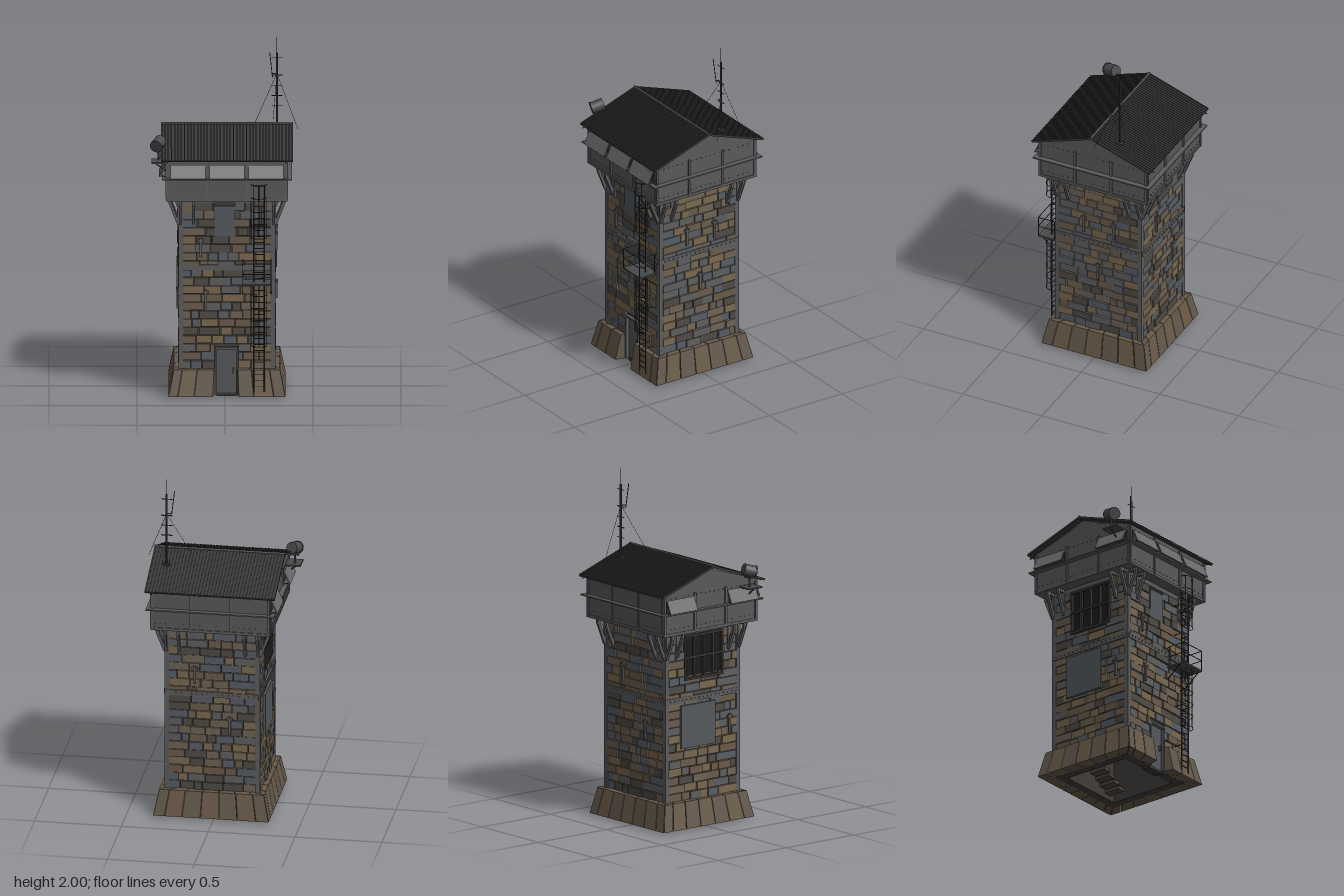
import * as THREE from 'three';
import { mergeGeometries } from 'three/addons/utils/BufferGeometryUtils.js';

const STEEL = 0x5c5c5c, DARK = 0x343434, ROOF = 0x383838, IRON = 0x484a4c, WALL = 0x3f3c38;
const STONES = [0x6e6254, 0x5f5f5f, 0x7a6850, 0x585e66, 0x4f4a44, 0x6a5b4a];
const V = (x, y, z) => new THREE.Vector3(x, y, z);

let seed = 7;
const rnd = () => (seed = (seed * 16807) % 2147483647) / 2147483647;

// Box given by its centre
const box = (w, h, d, x, y, z) => new THREE.BoxGeometry(w, h, d).translate(x, y, z).toNonIndexed();

// Round bar between two points
function rod(a, b, r, sides = 6) {
  const d = b.clone().sub(a);
  const g = new THREE.CylinderGeometry(r, r, d.length(), sides);
  g.applyQuaternion(new THREE.Quaternion().setFromUnitVectors(V(0, 1, 0), d.normalize()));
  const m = a.clone().add(b).multiplyScalar(0.5);
  return g.translate(m.x, m.y, m.z).toNonIndexed();
}

function add(parent, name, geoms, color, double = false) {
  const mat = new THREE.MeshStandardMaterial({ color });
  if (double) mat.side = THREE.DoubleSide;
  const m = new THREE.Mesh(mergeGeometries(geoms), mat);
  m.name = name;
  parent.add(m);
  return m;
}

// One slanted plinth stone, f0..f1 being fractions of the side
function plinthStone(f0, f1) {
  const g = new THREE.BoxGeometry(1, 1, 1).toNonIndexed(), p = g.attributes.position;
  for (let i = 0; i < p.count; i++) {
    const top = p.getY(i) > 0;
    const half = p.getZ(i) > 0 ? (top ? 0.302 : 0.333) : 0.225;
    p.setXYZ(i, (p.getX(i) > 0 ? f1 : f0) * half, top ? 0.163 : 0.012, half);
  }
  g.computeVertexNormals();
  return g;
}

// Irregular coursed stonework on one side, leaving gaps for openings
function stonework(parent, openings) {
  const sets = STONES.map(() => []);
  const rows = 20, y0 = 0.163, h = (1.13 - y0) / rows;
  for (let r = 0; r < rows; r++) {
    const y = y0 + (r + 0.5) * h;
    const gaps = openings.filter(o => y > o.y0 && y < o.y1);
    let x = -0.25;
    while (x < 0.249) {
      let end = x + 0.045 + rnd() * 0.085;
      if (end > 0.215) end = 0.25;
      let spans = [[x, end]];
      for (const o of gaps) spans = spans.flatMap(([a, b]) =>
        [[a, Math.min(b, o.x0)], [Math.max(a, o.x1), b]]);
      const d = 0.008 + rnd() * 0.012, c = Math.floor(rnd() * STONES.length);
      for (const [a, b] of spans) if (b - a > 0.006)
        sets[c].push(box(b - a - 0.004, h - 0.004, d, (a + b) / 2, y, 0.259 + d / 2));
      x = end;
    }
  }
  sets.forEach((s, i) => s.length && add(parent, 'stones' + (i + 1), s, STONES[i]));
}

// Triangular bracket below the cabin
function bracket(x) {
  const s = new THREE.Shape([[0.27, 1.0], [0.282, 1.0], [0.333, 1.13], [0.333, 1.155], [0.27, 1.155]]
    .map(p => new THREE.Vector2(...p)));
  s.holes.push(new THREE.Path([[0.28, 1.04], [0.28, 1.14], [0.318, 1.14]].map(p => new THREE.Vector2(...p))));
  const g = new THREE.ExtrudeGeometry(s, { depth: 0.016, bevelEnabled: false });
  return g.rotateY(-Math.PI / 2).translate(x + 0.008, 0, 0);
}

function flap(x, w) {
  return box(w, 0.083, 0.007, 0, -0.041, 0).rotateX(-0.42).translate(x, 1.367, 0.348);
}

export function createModel() {
  const model = new THREE.Group();
  const body = new THREE.Group();
  body.name = 'tower';
  body.position.set(0.012, 0, -0.004);
  model.add(body);

  // Openings and anchors per side: front, +x, back, -x
  const door = { x0: -0.068, x1: 0.064, y0: 0, y1: 0.29 };
  const hatch = { x0: -0.07, x1: 0.045, y0: 0.935, y1: 1.11 };
  const bigWindow = { x0: -0.13, x1: 0.14, y0: 0.87, y1: 1.12 };
  const openings = [[door, hatch], [], [], [bigWindow]];
  const anchors = [[[-0.15, 0.87], [-0.12, 0.57]], [[-0.09, 0.87], [0.1, 0.87], [0, 0.57]],
    [[-0.1, 0.87], [0.1, 0.57]], [[0.19, 0.57]]];
  const sideNames = ['frontSide', 'rightSide', 'backSide', 'leftSide'];

  sideNames.forEach((name, k) => {
    const side = new THREE.Group();
    side.name = name;
    side.rotation.y = k * Math.PI / 2;
    body.add(side);

    // Wall and stones
    const wall = k === 0
      ? [box(0.197, 1.143, 0.05, -0.1635, 0.583, 0.235), box(0.198, 1.143, 0.05, 0.163, 0.583, 0.235),
        box(0.132, 0.865, 0.05, -0.002, 0.7225, 0.235)]
      : [box(0.524, 1.143, 0.05, 0, 0.583, 0.235)];
    add(side, 'wall', wall, WALL);
    stonework(side, openings[k]);

    // Plinth
    const cuts = k === 0 ? [-1, -0.84, -0.56, -0.24, 0.2, 0.46, 0.8, 1] : [-1, -0.8, -0.5, -0.18, 0.14, 0.46, 0.78, 1];
    [0, 1].forEach(odd => {
      const set = [];
      for (let i = odd; i < cuts.length - 1; i += 2)
        if (k || i !== 3) set.push(plinthStone(cuts[i] + 0.006, cuts[i + 1] - 0.006));
      add(side, 'plinth' + odd, set, odd ? 0x6a5a48 : 0x62574b);
    });

    // Steel corner angles, bands and anchors with rivets
    const steel = [box(0.028, 0.99, 0.028, 0.261, 0.655, 0.261), box(0.53, 0.032, 0.014, 0, 0.752, 0.272),
      box(0.55, 0.026, 0.02, 0, 1.142, 0.266)];
    for (let i = -8; i <= 8; i++) steel.push(box(0.006, 0.006, 0.006, i * 0.03, 0.752, 0.281));
    for (const [x, y] of anchors[k])
      steel.push(box(0.014, 0.11, 0.01, x, y, 0.282), box(0.034, 0.012, 0.012, x, y + 0.04, 0.283));
    add(side, 'steelwork', steel, STEEL);
    add(side, 'brackets', [-0.265, -0.19, 0.19, 0.265].map(bracket), STEEL);

    // Cabin ledge, trims, battens and rivets
    const trim = [box(0.74, 0.008, 0.04, 0, 1.285, 0.35), box(0.69, 0.016, 0.01, 0, 1.163, 0.34)];
    for (const x of [-0.335, -0.115, 0.115, 0.335])
      trim.push(box(0.014, k % 2 ? 0.22 : 0.235, 0.01, x, 1.277, 0.343));
    for (let i = -10; i <= 10; i++) for (const y of [1.195, 1.375])
      trim.push(box(0.005, 0.005, 0.005, i * 0.032, y, 0.341));
    add(side, 'cabinTrim', trim, STEEL);

    // Window strips under propped flaps, front and searchlight side
    const flaps = k === 0 ? [-0.222, 0, 0.222] : k === 3 ? [-0.225, 0.222] : [];
    if (flaps.length) {
      add(side, 'cabinWindows', flaps.map(x => box(0.19, 0.07, 0.004, x, 1.328, 0.342)), DARK);
      add(side, 'windowFlaps', flaps.map(x => flap(x, 0.2)), 0x6a6a6a);
      add(side, 'flapProps', flaps.flatMap(x => [-0.09, 0.09].map(o =>
        rod(V(x + o, 1.29, 0.342), V(x + o, 1.297, 0.376), 0.003))), IRON);
    }

    if (k === 0) {
      // Door with frame and step, shuttered hatch above
      add(side, 'door', [box(0.12, 0.27, 0.012, -0.002, 0.148, 0.25),
        box(0.012, 0.27, 0.03, -0.062, 0.148, 0.262), box(0.012, 0.27, 0.03, 0.058, 0.148, 0.262),
        box(0.132, 0.012, 0.03, -0.002, 0.282, 0.262), box(0.008, 0.03, 0.014, 0.035, 0.15, 0.262)], 0x55585c);
      add(side, 'doorStep', [box(0.115, 0.02, 0.05, -0.002, 0.01, 0.235)], DARK);
      add(side, 'hatch', [box(0.115, 0.175, 0.016, -0.013, 1.022, 0.27)], 0x55595e);
    }
    if (k === 3) {
      // Large barred window with canopy, patched plate below
      add(side, 'windowGlass', [box(0.27, 0.25, 0.006, 0.005, 0.995, 0.263)], 0x1c1c1c);
      const bars = [-0.13, -0.063, 0.005, 0.073, 0.14].map(x => box(0.012, 0.25, 0.02, x, 0.995, 0.272));
      for (const y of [0.87, 0.995, 1.12]) bars.push(box(0.282, 0.014, 0.022, 0.005, y, 0.273));
      add(side, 'windowFrame', bars, DARK);
      add(side, 'plate', [box(0.25, 0.25, 0.014, -0.04, 0.595, 0.28)], 0x55595c);
    }
  });

  // Stair inside the hollow shaft, winding along the walls
  const steps = [], run = 7;
  for (let i = 0; i < 42; i++) {
    const s = box(0.05, 0.02, 0.1, -0.15 + (i % run) * 0.043, 0.05 + i * 0.025, 0.16);
    steps.push(s.rotateY((Math.floor(i / run) + 2) * Math.PI / 2));
  }
  add(body, 'innerStair', steps, 0x4a4642);

  // Cabin with gables
  const gable = new THREE.Shape([[-0.34, 1.155], [0.34, 1.155], [0.34, 1.4], [0, 1.518], [-0.34, 1.4]]
    .map(p => new THREE.Vector2(...p)));
  const cabin = new THREE.ExtrudeGeometry(gable, { depth: 0.68, bevelEnabled: false })
    .rotateY(-Math.PI / 2).translate(0.34, 0, 0);
  add(body, 'cabin', [cabin], 0x595959);

  // Corrugated roof slopes
  const tilt = Math.atan2(0.13, 0.375), len = Math.hypot(0.13, 0.375);
  for (const s of [1, -1]) {
    const parts = [box(0.75, 0.008, len, 0, -0.004, len / 2)];
    for (let i = 0; i <= 40; i++) parts.push(box(0.008, 0.005, len, -0.371 + i * 0.01855, 0.0025, len / 2));
    const slope = add(body, s > 0 ? 'roofFront' : 'roofBack', parts.map(g => g.rotateX(tilt).translate(0, 1.528, 0)), ROOF);
    if (s < 0) slope.rotation.y = Math.PI;
    add(body, 'rafters', [-0.337, 0.334].map(x => rod(V(x, 1.50, s * 0.02), V(x, 1.388, s * 0.385), 0.004)), IRON);
  }
  add(body, 'ridgeCap', [rod(V(-0.376, 1.529, 0), V(0.376, 1.529, 0), 0.008, 8)], IRON);

  // Ladder with two cages
  const lx = 0.182, lz = 0.327, ladder = [], cage = [];
  for (const s of [-1, 1]) ladder.push(rod(V(lx + s * 0.03, 0.04, lz), V(lx + s * 0.03, 1.16, lz), 0.004));
  for (let i = 0; i < 31; i++) ladder.push(rod(V(lx - 0.03, 0.07 + i * 0.035, lz), V(lx + 0.03, 0.07 + i * 0.035, lz), 0.0025));
  for (const y of [0.2, 0.45, 0.9, 1.08]) for (const s of [-1, 1])
    ladder.push(rod(V(lx + s * 0.03, y, 0.27), V(lx + s * 0.03, y, lz), 0.003));
  add(body, 'ladder', ladder, DARK);
  for (const [a, b] of [[0.31, 0.68], [0.94, 1.25]]) {
    const n = Math.round((b - a) / 0.075);
    for (let i = 0; i <= n; i++)
      cage.push(new THREE.TorusGeometry(0.045, 0.0025, 4, 12, Math.PI).rotateX(Math.PI / 2)
        .translate(lx, a + (b - a) * i / n, lz).toNonIndexed());
    for (let i = 0; i < 5; i++) {
      const t = i * Math.PI / 4, x = lx + 0.045 * Math.cos(t), z = lz + 0.045 * Math.sin(t);
      cage.push(rod(V(x, a, z), V(x, b, z), 0.002, 4));
    }
  }
  add(body, 'ladderCage', cage, DARK);

  // Landing with railing
  add(body, 'landing', [box(0.165, 0.01, 0.12, 0.17, 0.677, 0.335)], IRON);
  const rail = [];
  for (const x of [0.09, 0.25]) {
    for (const z of [0.29, 0.394]) rail.push(rod(V(x, 0.677, z), V(x, 0.8, z), 0.003));
    for (const y of [0.74, 0.8]) rail.push(rod(V(x, y, 0.28), V(x, y, 0.394), 0.0025));
    rail.push(rod(V(x, 0.6, 0.275), V(x, 0.675, 0.37), 0.003));
  }
  for (const y of [0.74, 0.8]) rail.push(rod(V(0.09, y, 0.394), V(0.25, y, 0.394), 0.0025));
  add(body, 'landingRail', rail, DARK);

  // Searchlight on its corner shelf
  const light = new THREE.Group();
  light.name = 'searchlight';
  model.add(light);
  add(light, 'shelf', [box(0.09, 0.008, 0.1, -0.372, 1.37, 0.26), rod(V(-0.41, 1.37, 0.26), V(-0.33, 1.31, 0.26), 0.004),
    rod(V(-0.378, 1.37, 0.245), V(-0.378, 1.44, 0.245), 0.006), box(0.05, 0.008, 0.03, -0.378, 1.43, 0.245)], IRON);
  const dir = V(-0.35, -0.3, 0.94).normalize().multiplyScalar(0.036), c = V(-0.378, 1.47, 0.243);
  add(light, 'lampHousing', [rod(c.clone().sub(dir), c.clone().add(dir), 0.034, 20),
    rod(c.clone().addScaledVector(dir, 0.85), c.clone().addScaledVector(dir, 1.08), 0.037, 20)], IRON);

  // Radio mast with cross arms, whip and guy wires
  const mast = new THREE.Group();
  mast.name = 'radioMast';
  mast.position.set(0.296, 0, -0.147);
  model.add(mast);
  const pole = [rod(V(0, 1.46, 0), V(0, 1.91, 0), 0.006, 8), rod(V(0, 1.9, 0), V(0, 2, 0), 0.0018),
    box(0.035, 0.012, 0.035, 0, 1.485, 0), rod(V(-0.025, 1.77, 0.015), V(-0.041, 1.92, 0.025), 0.0025),
    rod(V(0, 1.79, 0), V(-0.027, 1.79, 0.015), 0.003)];
  [1.6, 1.66, 1.72, 1.78, 1.88].forEach((y, i) => pole.push(rod(V(-0.032, y, 0), V(0.032, y, 0), i % 2 ? 0.003 : 0.002)));
  add(mast, 'pole', pole, DARK);
  const ends = [[-0.126, 1.52, 0.097], [0.119, 1.49, 0.107], [-0.021, 1.49, -0.133]];
  add(mast, 'guyWires', ends.map(e => rod(V(0, 1.79, 0), V(...e), 0.0012, 4)), DARK);
  return model;
}
